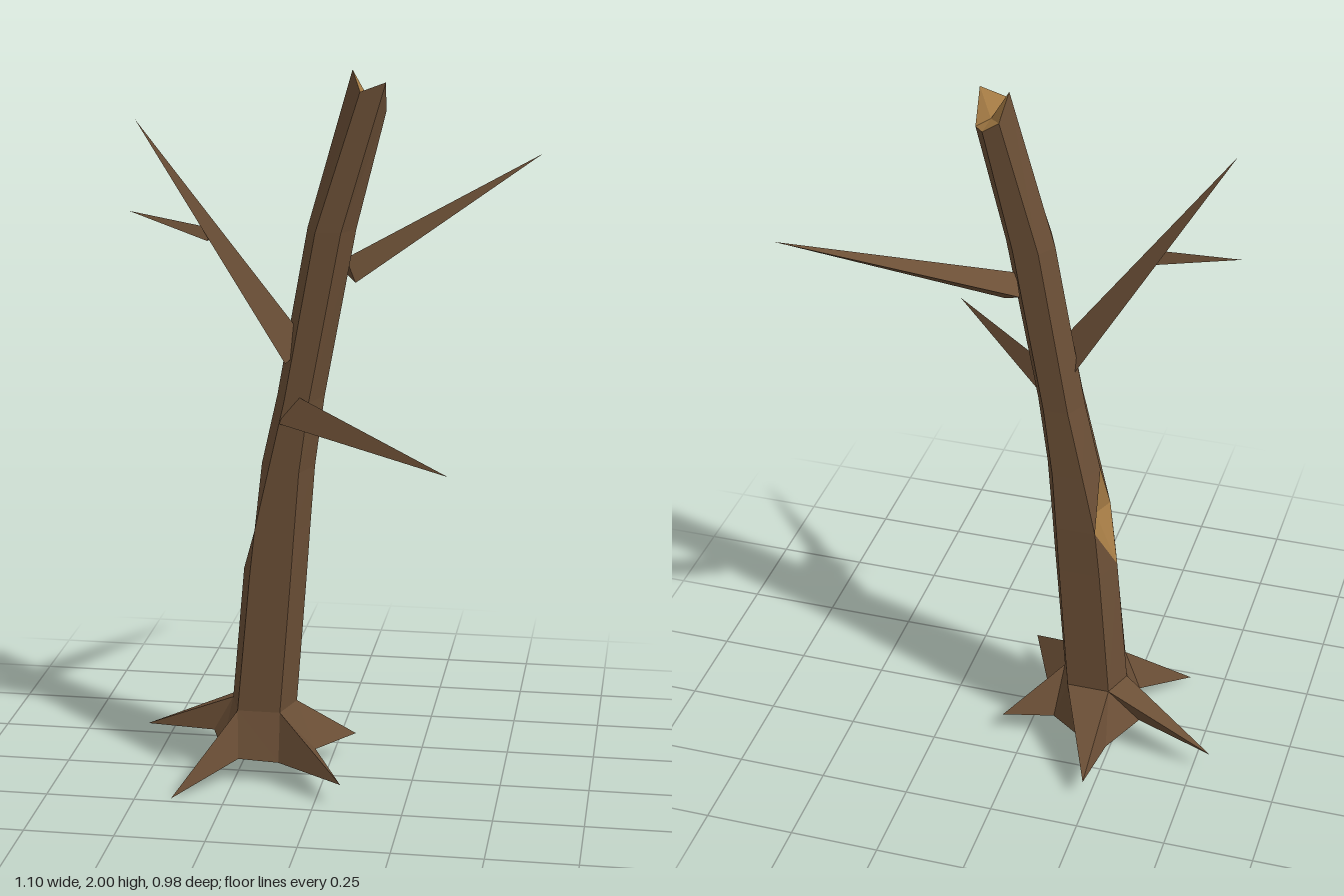
import * as THREE from 'three';

const bark = new THREE.MeshStandardMaterial({ color: 0x6b4f36, flatShading: true });
const wood = new THREE.MeshStandardMaterial({ color: 0xa67c45, flatShading: true });

// Mesh from a list of triangles, each three [x, y, z] points
function triMesh(name, tris, material) {
  const geo = new THREE.BufferGeometry();
  geo.setAttribute('position', new THREE.Float32BufferAttribute(tris.flat(2), 3));
  geo.computeVertexNormals();
  const mesh = new THREE.Mesh(geo, material);
  mesh.name = name;
  return mesh;
}

// Six-sided trunk section: front-left, front-right, right, back-right, back-left, left edge
function section(y, l, r, front, back) {
  const i = 0.032, m = -0.06;
  return [[l + i, y, front], [r - i, y, front], [r, y, m], [r - i, y, back], [l + i, y, back], [l, y, m]];
}

const rings = [
  section(0.2, -0.275, -0.09, 0.045, -0.145),
  section(0.59, -0.24, -0.06, 0.036, -0.135),
  section(0.73, -0.225, -0.05, 0.032, -0.132),
  section(0.9, -0.187, -0.037, 0.028, -0.126),
  section(1.1, -0.142, -0.01, 0.024, -0.12),
  section(1.57, -0.057, 0.077, 0.015, -0.11),
  // jagged broken end
  [[0.095, 1.95, 0.01], [0.163, 1.975, 0], [0.157, 1.89, -0.06],
    [0.125, 1.9, -0.105], [0.08, 1.93, -0.105], [0.065, 2, -0.062]],
];
rings[2][5] = [-0.175, 0.75, -0.06]; // hollow of the wound

function buildTrunk() {
  const brown = [], wound = [], top = [];
  for (let k = 0; k < rings.length - 1; k++) {
    for (let j = 0; j < 6; j++) {
      const n = (j + 1) % 6;
      const a = rings[k][j], b = rings[k][n], c = rings[k + 1][n], d = rings[k + 1][j];
      // The diamond-shaped wound sits on the left edge, around ring 2
      const side = j === 4 || j === 5;
      const split = (k === 1 && j === 4) || (k === 2 && j === 5);
      const t = split ? [[a, b, d], [b, c, d]] : [[a, b, c], [a, c, d]];
      t.forEach((tri) => {
        const inWound = side && (k === 1 || k === 2) && tri.includes(rings[2][5]);
        (inWound ? wound : brown).push(tri);
      });
    }
  }
  const end = rings[rings.length - 1], core = [0.12, 1.91, -0.045];
  end.forEach((p, j) => top.push([p, end[(j + 1) % 6], core]));
  return [triMesh('trunk', brown, bark), triMesh('trunkWound', wound, wood), triMesh('brokenTop', top, wood)];
}

// Star-shaped foot: [x, y, z, index of the trunk edge it hangs from]
const foot = [
  [-0.235, 0.07, 0.085, 0], [-0.12, 0.065, 0.085, 1],
  [0.075, 0.065, 0.217, 1], [-0.03, 0.07, -0.02, 2],
  [0.065, 0.065, -0.17, 2], [-0.08, 0.07, -0.14, 3], [-0.2, 0.07, -0.225, 3],
  [-0.235, 0.06, -0.385, 4], [-0.26, 0.07, -0.23, 4], [-0.33, 0.1, -0.125, 4],
  [-0.55, 0.06, -0.17, 5], [-0.33, 0.1, -0.05, 5], [-0.29, 0.08, 0.04, 0],
  [-0.4, 0, 0.23, 0],
];

function buildRoots() {
  const tris = [], core = [-0.17, 0.1, -0.05];
  foot.forEach((f, i) => {
    const g = foot[(i + 1) % foot.length];
    const p = f.slice(0, 3), q = g.slice(0, 3);
    const a = rings[0][f[3]], b = rings[0][g[3]];
    tris.push([a, p, q], [core, q, p]);
    if (a !== b) tris.push([a, q, b]);
  });
  return triMesh('roots', tris, bark);
}

// Three-sided spike from base to tip; spin turns its section, 0 puts a ridge on top
function branch(name, base, tip, r, spin) {
  const o = new THREE.Vector3(...base), e = new THREE.Vector3(...tip);
  const dir = e.clone().sub(o).normalize();
  const side = new THREE.Vector3().crossVectors(dir, new THREE.Vector3(0, 1, 0)).normalize();
  const up = new THREE.Vector3().crossVectors(side, dir);
  const corners = [0, 1, 2].map((i) => {
    const a = spin + (i * Math.PI * 2) / 3;
    return o.clone().addScaledVector(up, r * Math.cos(a)).addScaledVector(side, r * Math.sin(a)).toArray();
  });
  const tris = corners.map((c, i) => [c, tip, corners[(i + 1) % 3]]);
  tris.push(corners);
  // Keep the faces pointing outwards
  const [p, q, s] = tris[0].map((v) => new THREE.Vector3(...v));
  const normal = q.clone().sub(p).cross(s.clone().sub(p));
  if (normal.dot(p.clone().add(s).multiplyScalar(0.5).sub(o)) < 0) tris.forEach((t) => t.reverse());
  return triMesh(name, tris, bark);
}

export function createModel() {
  const tree = new THREE.Group();
  tree.name = 'deadTree';
  tree.add(...buildTrunk(), buildRoots());
  tree.add(
    branch('backBranch', [0.045, 1.45, -0.1], [0.55, 1.72, -0.49], 0.045, Math.PI / 6),
    branch('frontBranch', [-0.09, 1.065, 0], [0.39, 1.04, 0.49], 0.052, 0),
    branch('rightBranch', [-0.09, 1.22, -0.03], [-0.515, 1.865, 0.01], 0.052, 0),
    branch('twig', [-0.315, 1.55, -0.005], [-0.55, 1.605, -0.048], 0.022, 0),
  );
  return tree;
}
